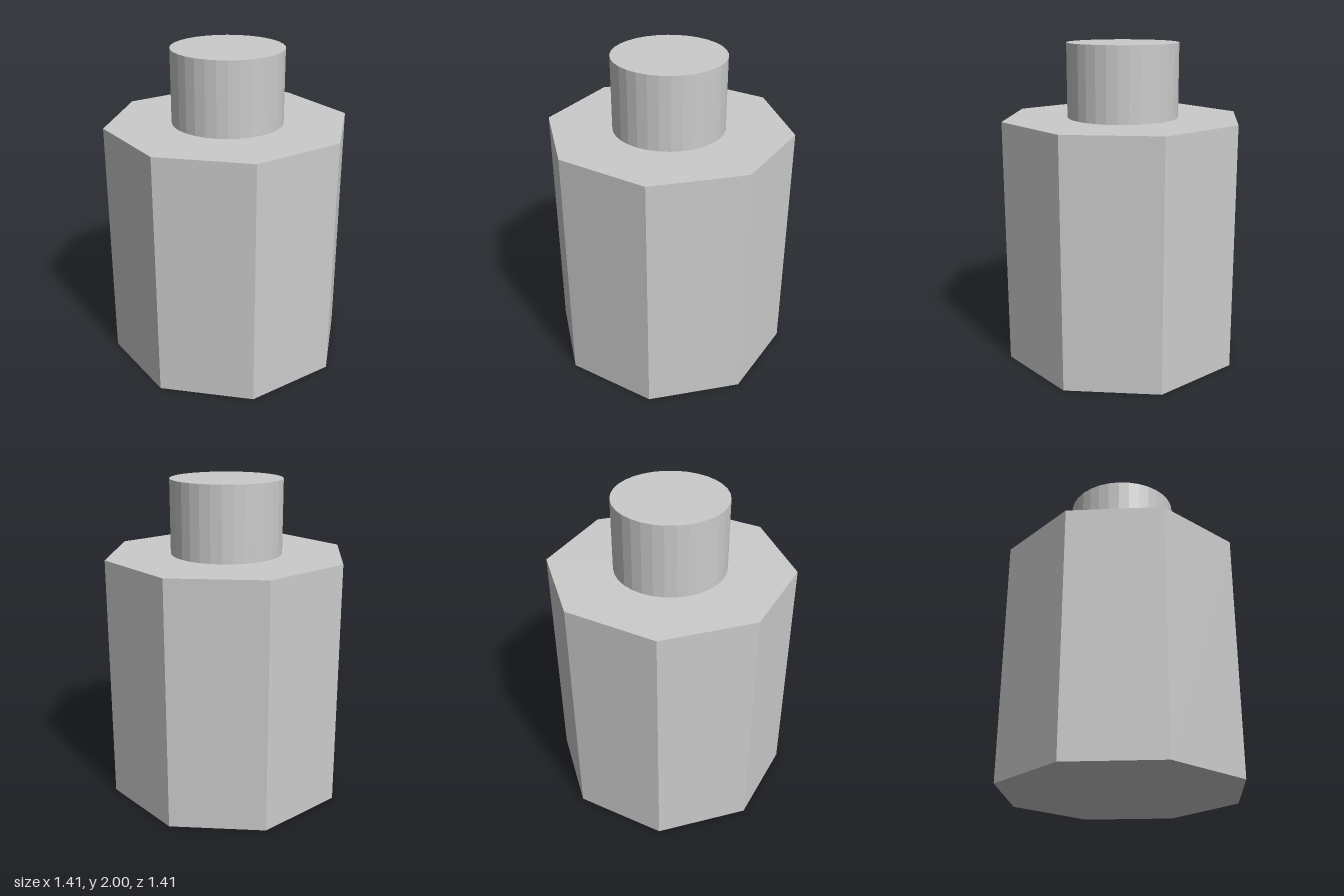
import * as THREE from 'three';

const BODY_HEIGHT = 1.54;
const TOTAL_HEIGHT = 2;
const BODY_APOTHEM = 0.707; // centre to flat side
const NECK_RADIUS = 0.348;

// Upright faceted prism standing between two heights
function prism(name, radius, sides, bottom, top, turn = 0) {
  const geometry = new THREE.CylinderGeometry(radius, radius, top - bottom, sides);
  geometry.rotateY(turn);
  geometry.translate(0, (bottom + top) / 2, 0);
  const material = new THREE.MeshStandardMaterial({ color: 0xcccccc, flatShading: true });
  const mesh = new THREE.Mesh(geometry, material);
  mesh.name = name;
  return mesh;
}

export function createModel() {
  const model = new THREE.Group();
  model.name = 'octagonalBottle';

  // Octagonal body, turned so a flat side faces the front
  const bodyRadius = BODY_APOTHEM / Math.cos(Math.PI / 8);
  model.add(prism('body', bodyRadius, 8, 0, BODY_HEIGHT, Math.PI / 8));

  // Round neck on top of the body
  model.add(prism('neck', NECK_RADIUS, 32, BODY_HEIGHT, TOTAL_HEIGHT));

  return model;
}
